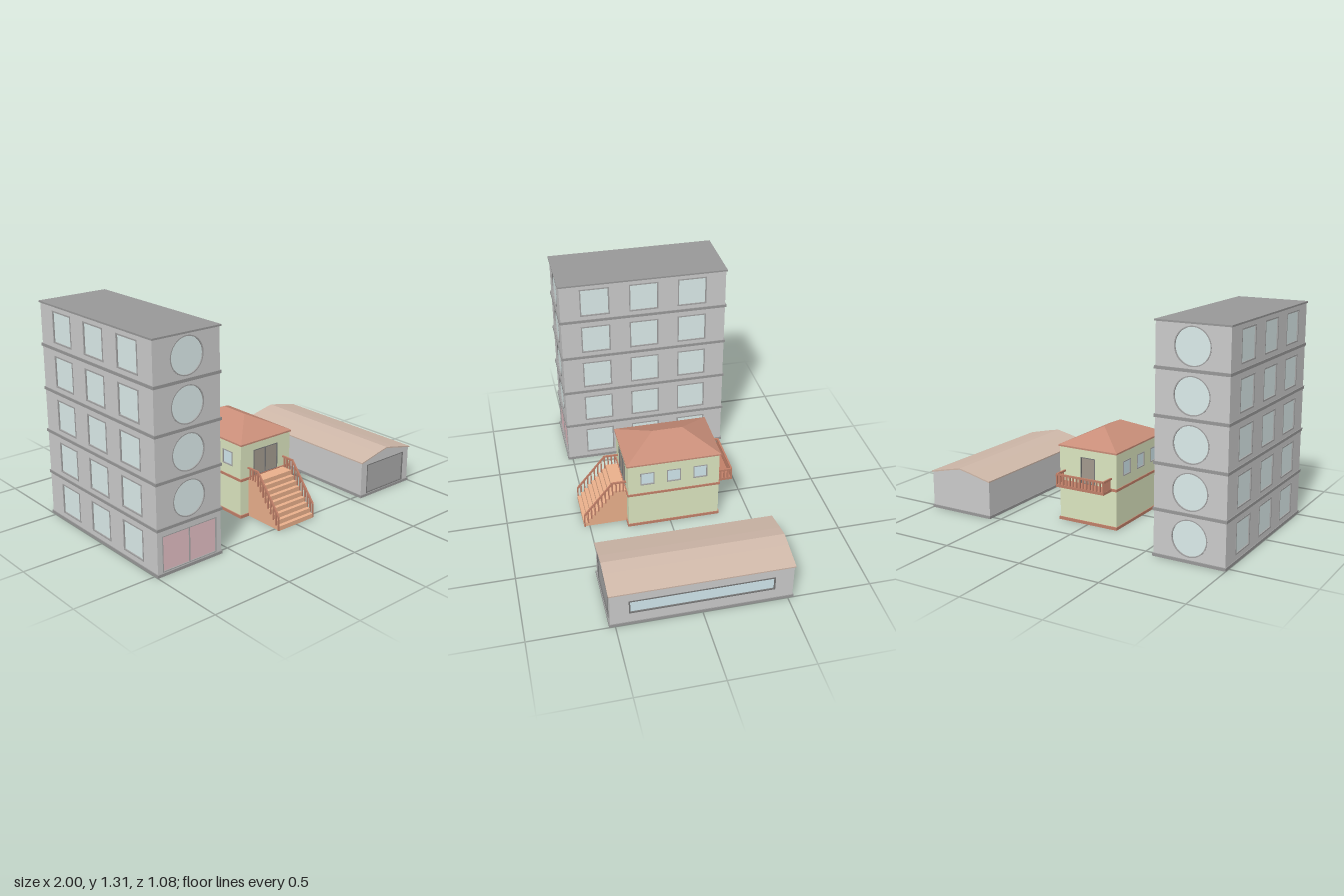
import * as THREE from 'three';

const mat = (color) => new THREE.MeshStandardMaterial({ color, flatShading: true, side: THREE.DoubleSide });
const M = {
  wall: mat(0xcccccc), trim: mat(0x999999), frame: mat(0xa4a4a4), darkFrame: mat(0x777777),
  glass: mat(0xdceceb), blueGlass: mat(0xd2e8ee), pink: mat(0xe4bfc4), shutter: mat(0xaaaaaa),
  green: mat(0xdce6c0), tile: mat(0xc98e79), brick: mat(0xc18069), step: mat(0xeab08c),
  houseDoor: mat(0xa39a8e), shedRoof: mat(0xcfb8a9),
};

function add(parent, name, geometry, material, x = 0, y = 0, z = 0) {
  const mesh = new THREE.Mesh(geometry, material);
  mesh.name = name;
  mesh.position.set(x, y, z);
  parent.add(mesh);
  return mesh;
}
const box = (parent, name, w, h, d, material, x, y, z) =>
  add(parent, name, new THREE.BoxGeometry(w, h, d), material, x, y, z);

function group(parent, name, x = 0, z = 0) {
  const g = new THREE.Group();
  g.name = name;
  g.position.set(x, 0, z);
  parent.add(g);
  return g;
}

const extrude = (shape, depth) =>
  new THREE.ExtrudeGeometry(shape, { depth, bevelEnabled: false, curveSegments: 16 });

// Rectangle (or circle when o.r is set) outline, shrunk by inset
function outline(o, inset = 0, Type = THREE.Path) {
  const p = new Type();
  if (o.r) return p.absarc(o.x, o.y, o.r - inset, 0, Math.PI * 2, false);
  const a = o.w / 2 - inset, b = o.h / 2 - inset;
  p.moveTo(o.x - a, o.y - b).lineTo(o.x + a, o.y - b);
  p.lineTo(o.x + a, o.y + b).lineTo(o.x - a, o.y + b).closePath();
  return p;
}

// Wall in the xy plane, outer face at z = 0, with framed and filled openings
function facade(parent, name, shape, openings, material, x, z, turn) {
  const t = 0.01, g = group(parent, name, x, z);
  g.rotation.y = turn;
  for (const o of openings) {
    shape.holes.push(outline(o));
    const rim = outline(o, 0, THREE.Shape);
    rim.holes.push(outline(o, o.rim));
    add(g, 'openingFrame', extrude(rim, t + 0.002), o.frame, 0, 0, -t);
    add(g, o.name, extrude(outline(o, o.rim, THREE.Shape), 0.003), o.fill, 0, 0, -0.008);
    if (o.split) box(g, 'doorDivider', 0.006, o.h, 0.006, o.frame, o.x, o.y, -0.003);
  }
  add(g, 'wall', extrude(shape, t), material, 0, 0, -t);
}
const rectWall = (w, h) => outline({ x: 0, y: h / 2, w, h }, 0, THREE.Shape);

// Horizontal band running round a building
function band(parent, name, w, d, y, h, material) {
  const s = outline({ x: 0, y: 0, w, h: d }, 0, THREE.Shape);
  s.holes.push(outline({ x: 0, y: 0, w, h: d }, 0.02));
  add(parent, name, extrude(s, h).rotateX(-Math.PI / 2), material, 0, y, 0);
}

// Square bar between two points
function bar(parent, name, a, b, size, material) {
  const p = new THREE.Vector3(...a), q = new THREE.Vector3(...b);
  const m = box(parent, name, size, size, p.distanceTo(q), material, 0, 0, 0);
  m.position.copy(p).lerp(q, 0.5);
  m.lookAt(q);
}

function buildTower(root) {
  const g = group(root, 'tower', -0.78, -0.005), H = 1.297, X = 0.215, Z = 0.527, floor = 0.26;
  const sides = [], front = [], back = [];
  for (let k = 0; k < 5; k++) {
    const y = 0.138 + floor * k;
    for (const x of [-0.31, 0, 0.31])
      sides.push({ name: 'window', x, y, w: 0.186, h: 0.186, rim: 0.008, frame: M.frame, fill: M.glass });
    const round = { name: 'roundWindow', x: 0, y, r: 0.107, rim: 0.006, frame: M.frame, fill: M.glass };
    back.push(round);
    if (k) front.push(round);
    band(g, 'floorBand', 0.44, 1.07, floor * k + (k ? 0.003 : 0), 0.017, M.trim);
  }
  front.push({ name: 'entranceDoor', x: 0, y: 0.125, w: 0.365, h: 0.21, rim: 0.005, frame: M.frame, fill: M.pink, split: true });
  facade(g, 'frontWall', rectWall(2 * X, H), front, M.wall, 0, Z, 0);
  facade(g, 'backWall', rectWall(2 * X, H), back, M.wall, 0, -Z, Math.PI);
  for (const s of [1, -1]) facade(g, 'sideWall', rectWall(2 * Z, H), sides, M.wall, s * X, 0, s * Math.PI / 2);
  box(g, 'flatRoof', 0.44, 0.01, 1.07, M.trim, 0, 1.3, 0);
}

function hipRoof(x, z, y, ridgeY, front, back) {
  const A = [-x, y, z], B = [x, y, z], C = [x, y, -z], D = [-x, y, -z], E = [0, ridgeY, front], F = [0, ridgeY, back];
  const tris = [A, B, E, B, C, F, B, F, E, C, D, F, D, A, E, D, E, F, A, D, C, A, C, B];
  const geo = new THREE.BufferGeometry();
  geo.setAttribute('position', new THREE.Float32BufferAttribute(tris.flat(), 3));
  geo.computeVertexNormals();
  return geo;
}

function buildHouse(root) {
  const g = group(root, 'house', 0, -0.022), X = 0.195, Z = 0.284, H = 0.462;
  const windows = [-0.165, 0, 0.165].map((x) =>
    ({ name: 'window', x, y: 0.355, w: 0.088, h: 0.09, rim: 0.006, frame: M.frame, fill: M.blueGlass }));
  const door = (w, split) => [{ name: 'door', x: 0, y: 0.329, w, h: 0.162, rim: 0.005, frame: M.darkFrame, fill: M.houseDoor, split }];
  facade(g, 'frontWall', rectWall(2 * X, H), door(0.19, true), M.green, 0, Z, 0);
  facade(g, 'backWall', rectWall(2 * X, H), door(0.1, false), M.green, 0, -Z, Math.PI);
  for (const s of [1, -1]) facade(g, 'sideWall', rectWall(2 * Z, H), windows, M.green, s * X, 0, s * Math.PI / 2);
  band(g, 'baseBand', 0.4, 0.582, 0, 0.018, M.brick);
  band(g, 'middleBand', 0.4, 0.582, 0.235, 0.015, M.brick);
  box(g, 'eaves', 0.4, 0.01, 0.586, M.tile, 0, 0.463, 0);
  add(g, 'hipRoof', hipRoof(0.2, 0.293, 0.468, 0.562, 0.092, -0.096), M.tile);
}

function buildStairs(root) {
  const g = group(root, 'frontStairs'), n = 9, rise = 0.245 / n, run = 0.19 / (n - 1);
  // Stepped side profile, swept across the width
  const s = new THREE.Shape().moveTo(0.26, 0).lineTo(0.535, 0);
  for (let i = 0; i < n; i++) {
    const z = 0.535 - i * run;
    s.lineTo(z, (i + 1) * rise).lineTo(i < n - 1 ? z - run : 0.26, (i + 1) * rise);
  }
  s.closePath();
  add(g, 'steps', extrude(s, 0.27).translate(0, 0, -0.135).rotateY(-Math.PI / 2), M.step);
  for (const x of [-0.138, 0.138]) {
    bar(g, 'slopedHandrail', [x, 0.088, 0.53], [x, 0.31, 0.35], 0.01, M.brick);
    bar(g, 'landingHandrail', [x, 0.31, 0.353], [x, 0.31, 0.264], 0.01, M.brick);
    for (let i = 0; i < n; i++) {
      const z = 0.53 - i * 0.18 / (n - 1), top = 0.088 + i * 0.222 / (n - 1);
      bar(g, 'stairBaluster', [x, i * rise, z], [x, top, z], 0.008, M.brick);
    }
    for (const z of [0.327, 0.305, 0.283]) bar(g, 'landingBaluster', [x, 0.24, z], [x, 0.31, z], 0.008, M.brick);
  }
}

function buildBalcony(root) {
  const g = group(root, 'backBalcony'), X = 0.16, Z = -0.395, top = 0.31;
  box(g, 'balconyFloor', 0.33, 0.016, 0.097, M.brick, 0, 0.242, -0.3515);
  const post = (x, z) => bar(g, 'balconyBaluster', [x, 0.245, z], [x, top, z], 0.009, M.brick);
  bar(g, 'backHandrail', [-X, top, Z], [X, top, Z], 0.011, M.brick);
  for (let i = 0; i <= 14; i++) post(-X + i * 2 * X / 14, Z);
  for (const x of [-X, X]) {
    bar(g, 'sideHandrail', [x, top, Z], [x, top, -0.305], 0.011, M.brick);
    for (let i = 1; i < 4; i++) post(x, Z + i * 0.0225);
  }
}

function buildShed(root) {
  const g = group(root, 'shed', 0.778), X = 0.217, Z = 0.528, H = 0.23;
  const gable = () => new THREE.Shape([[-X, 0], [X, 0], [X, H], [0, 0.278], [-X, H]].map((p) => new THREE.Vector2(...p)));
  const gate = { name: 'shutterDoor', x: 0, y: 0.113, w: 0.335, h: 0.19, rim: 0.005, frame: M.darkFrame, fill: M.shutter };
  const strip = { name: 'stripWindow', x: 0, y: 0.127, w: 0.842, h: 0.092, rim: 0.008, frame: M.darkFrame, fill: M.blueGlass };
  facade(g, 'frontWall', gable(), [gate], M.wall, 0, Z, 0);
  facade(g, 'backWall', gable(), [], M.wall, 0, -Z, Math.PI);
  facade(g, 'rightWall', rectWall(2 * Z, H), [strip], M.wall, X, 0, Math.PI / 2);
  facade(g, 'leftWall', rectWall(2 * Z, H), [], M.wall, -X, 0, -Math.PI / 2);
  band(g, 'baseBand', 0.444, 1.07, 0, 0.017, M.trim);
  // Thin pitched roof, slightly eased towards the ridge
  const half = [[0.222, 0.236], [0.075, 0.27], [0, 0.285]];
  const upper = [...half, [-0.075, 0.27], [-0.222, 0.236]];
  const lower = upper.map(([x, y]) => [x, y - 0.008]).reverse();
  const s = new THREE.Shape([...upper, ...lower].map((p) => new THREE.Vector2(...p)));
  add(g, 'pitchedRoof', extrude(s, 1.07), M.shedRoof, 0, 0, -0.535);
}

export function createModel() {
  const root = new THREE.Group();
  root.name = 'buildings';
  buildTower(root);
  buildHouse(root);
  buildStairs(root);
  buildBalcony(root);
  buildShed(root);
  return root;
}
